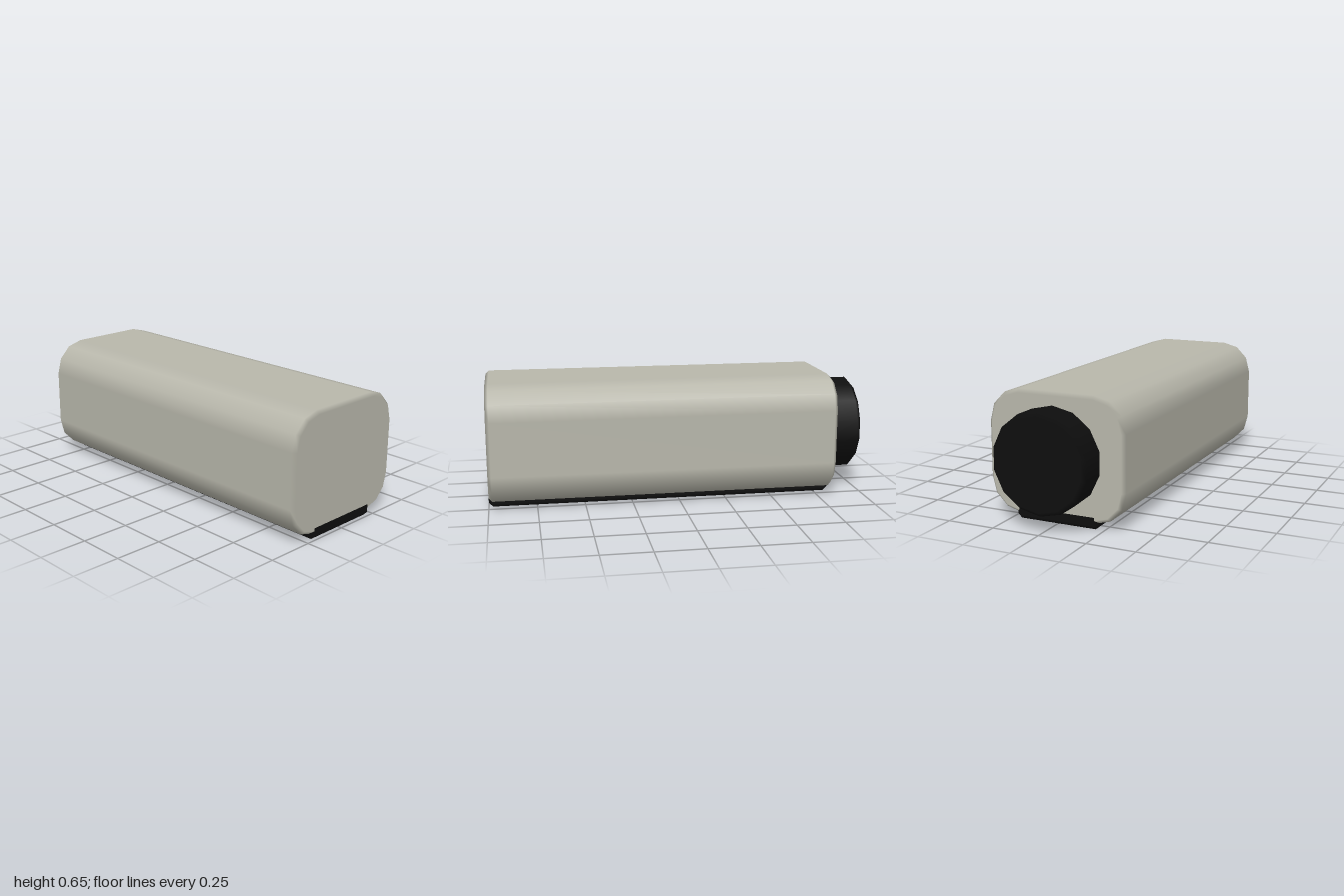
import * as THREE from 'three';

// Rounded rectangle, counter-clockwise, as points p with outward normals n
function roundedOutline(halfW, halfH, rx, ry, segments) {
  const outline = [];
  for (let corner = 0; corner < 4; corner++) {
    const sx = corner === 0 || corner === 3 ? 1 : -1;
    const sy = corner < 2 ? 1 : -1;
    for (let i = 0; i <= segments; i++) {
      const a = (corner + i / segments) * Math.PI / 2;
      const n = [Math.cos(a), Math.sin(a)];
      outline.push({ p: [sx * (halfW - rx) + rx * n[0], sy * (halfH - ry) + ry * n[1]], n });
    }
  }
  return outline;
}

// Regular polygon with a corner at the top
function polygonOutline(radius, sides) {
  return Array.from({ length: sides }, (_, i) => {
    const a = Math.PI / 2 + i / sides * Math.PI * 2;
    const n = [Math.cos(a), Math.sin(a)];
    return { p: [radius * n[0], radius * n[1]], n };
  });
}

// Prism along z with bevelled ends: flat caps, shading that rolls over the bevels
function bevelledPrism(outline, back, front, bevel) {
  const positions = [], normals = [], index = [];
  const count = outline.length;
  const rings = [
    { z: back, inset: bevel, nz: -1 },
    { z: back + bevel, inset: 0, nz: 0 },
    { z: front - bevel, inset: 0, nz: 0 },
    { z: front, inset: bevel, nz: 1 },
  ];
  for (const { z, inset, nz } of rings) {
    for (const { p, n } of outline) {
      positions.push(p[0] - n[0] * inset, p[1] - n[1] * inset, z);
      if (nz) normals.push(0, 0, nz);
      else normals.push(n[0], n[1], 0);
    }
  }
  for (let r = 0; r < 3; r++) {
    for (let i = 0; i < count; i++) {
      const j = (i + 1) % count;
      const a = r * count + i, b = r * count + j;
      index.push(a, b, b + count, a, b + count, a + count);
    }
  }
  for (let i = 1; i < count - 1; i++) {
    index.push(0, i + 1, i);
    index.push(3 * count, 3 * count + i, 3 * count + i + 1);
  }
  const geometry = new THREE.BufferGeometry();
  geometry.setAttribute('position', new THREE.Float32BufferAttribute(positions, 3));
  geometry.setAttribute('normal', new THREE.Float32BufferAttribute(normals, 3));
  geometry.setIndex(index);
  return geometry;
}

export function createModel() {
  const group = new THREE.Group();
  const grey = new THREE.MeshStandardMaterial({ color: 0xb8b7ab });
  grey.name = 'warm grey';
  const black = new THREE.MeshStandardMaterial({ color: 0x0e0e0e });
  black.name = 'black';

  const add = (name, geometry, material, y) => {
    const mesh = new THREE.Mesh(geometry, material);
    mesh.name = name;
    mesh.position.y = y;
    group.add(mesh);
  };

  // Long rounded housing
  add('housing', bevelledPrism(roundedOutline(0.365, 0.311, 0.165, 0.17, 3), -0.828, 0.998, 0.018), grey, 0.339);
  // Flat base strip sunk into the underside
  add('baseStrip', bevelledPrism(roundedOutline(0.225, 0.0415, 0.022, 0.022, 1), -0.83, 1, 0.022), black, 0.0415);
  // Round cap on the back
  add('rearCap', bevelledPrism(polygonOutline(0.2525, 14), -1, -0.826, 0.022), black, 0.339);
  return group;
}
